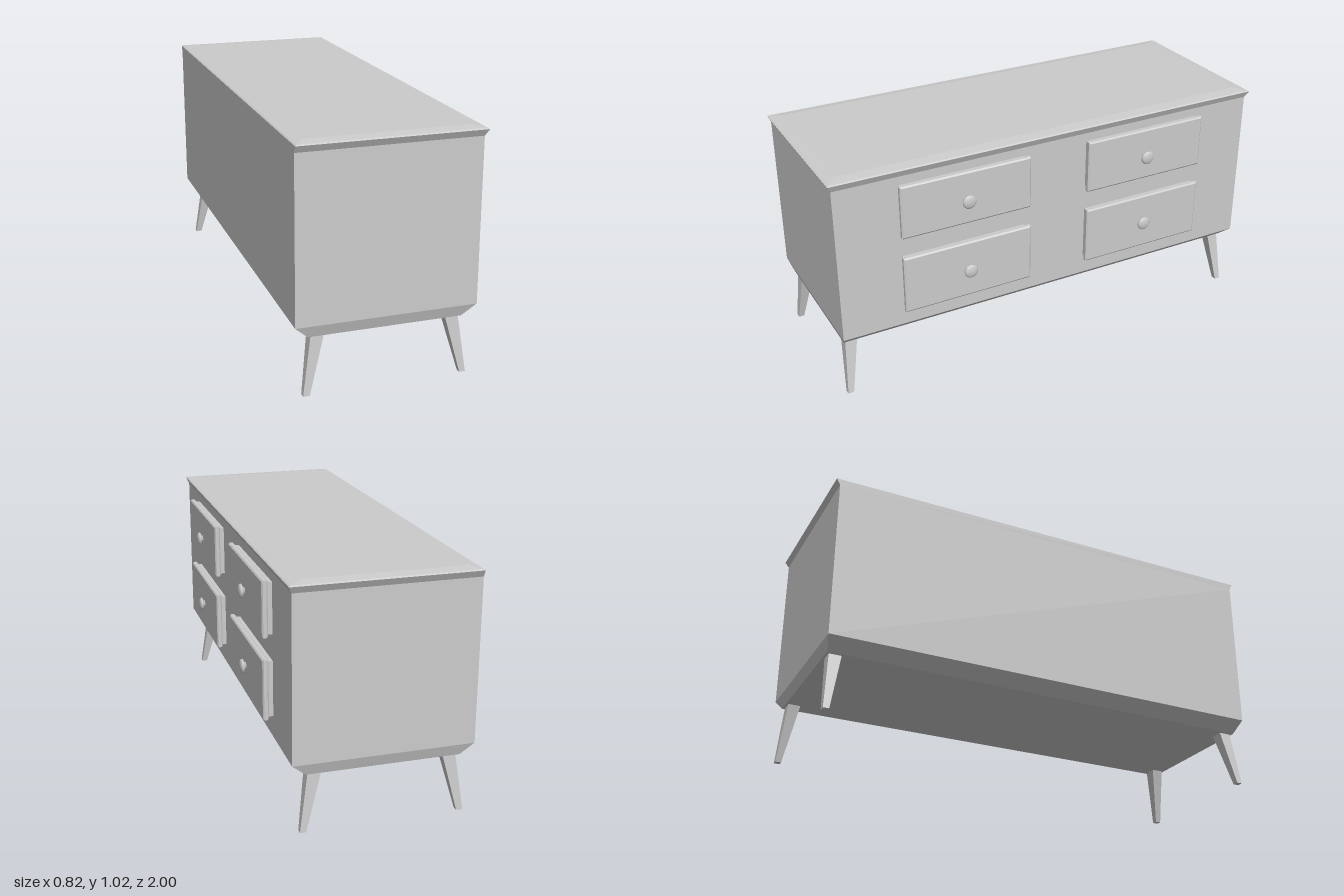
import * as THREE from 'three';

const material = new THREE.MeshStandardMaterial({ color: 0xcccccc, flatShading: true });
const smoothMaterial = new THREE.MeshStandardMaterial({ color: 0xcccccc });

// Solid through rectangular sections [y, x0, x1, z0, z1], listed upward
function loft(sections) {
  const pos = [];
  const rings = sections.map(([y, x0, x1, z0, z1]) =>
    [[x0, y, z1], [x1, y, z1], [x1, y, z0], [x0, y, z0]]);
  const quad = (a, b, c, d) => pos.push(...a, ...b, ...c, ...a, ...c, ...d);
  for (let r = 0; r < rings.length - 1; r++) {
    const lo = rings[r], hi = rings[r + 1];
    for (let i = 0; i < 4; i++) {
      const j = (i + 1) % 4;
      quad(lo[i], lo[j], hi[j], hi[i]);
    }
  }
  const [a, b, c, d] = rings[0];
  quad(d, c, b, a);
  quad(...rings[rings.length - 1]);
  const geo = new THREE.BufferGeometry();
  geo.setAttribute('position', new THREE.Float32BufferAttribute(pos, 3));
  geo.computeVertexNormals();
  return geo;
}

function add(parent, name, geo, mat = material) {
  const mesh = new THREE.Mesh(geo, mat);
  mesh.name = name;
  parent.add(mesh);
  return mesh;
}

export function createModel() {
  const model = new THREE.Group();
  model.name = 'dresser';

  // Cabinet with a chamfered underside
  add(model, 'cabinet', loft([
    [0.245, -0.355, 0.28, -0.968, 0.968],
    [0.295, -0.41, 0.338, -0.985, 0.985],
    [0.98, -0.41, 0.338, -0.985, 0.985],
  ]));

  // Flared top, flush at the back
  add(model, 'top', loft([
    [0.98, -0.41, 0.338, -0.985, 0.985],
    [1.008, -0.41, 0.351, -1, 1],
    [1.012, -0.405, 0.345, -0.992, 0.992],
    [1.018, -0.365, 0.295, -0.945, 0.945],
  ]));

  // Drawers: recessed box, bevelled front and round knob
  const knobProfile = [
    [0.001, 0], [0.017, 0], [0.015, 0.008], [0.024, 0.01], [0.03, 0.014],
    [0.03, 0.019], [0.025, 0.024], [0.014, 0.027], [0, 0.028],
  ].map(([r, h]) => new THREE.Vector2(r, h));
  const section = (x, h, w) => [x, -h, h, -w, w];
  for (const side of [1, -1]) {
    for (const [y, h, knobY] of [[0.837, 0.116, 0.826], [0.503, 0.127, 0.5]]) {
      const drawer = new THREE.Group();
      drawer.name = 'drawer';
      drawer.position.set(0, y, side * 0.43);
      model.add(drawer);
      add(drawer, 'drawerBox', loft([
        section(0.33, h - 0.01, 0.28), section(0.36, h - 0.01, 0.28),
      ]).rotateZ(-Math.PI / 2));
      add(drawer, 'drawerFront', loft([
        section(0.357, h - 0.006, 0.285), section(0.363, h, 0.291),
        section(0.377, h, 0.291), section(0.382, h - 0.006, 0.285),
      ]).rotateZ(-Math.PI / 2));
      const knob = add(drawer, 'knob',
        new THREE.LatheGeometry(knobProfile, 20).rotateZ(-Math.PI / 2), smoothMaterial);
      knob.position.set(0.38, knobY - y, 0);
    }
  }

  // Splayed, tapered legs
  for (const [foot0, foot1, top0, top1] of [
    [0.28, 0.305, 0.215, 0.27], [-0.377, -0.35, -0.341, -0.287],
  ]) {
    for (const side of [1, -1]) {
      const span = (inner, outer) => side > 0 ? [inner, outer] : [-outer, -inner];
      add(model, 'leg', loft([
        [0, foot0, foot1, ...span(0.95, 0.975)],
        [0.246, top0, top1, ...span(0.905, 0.958)],
      ]));
    }
  }
  return model;
}
